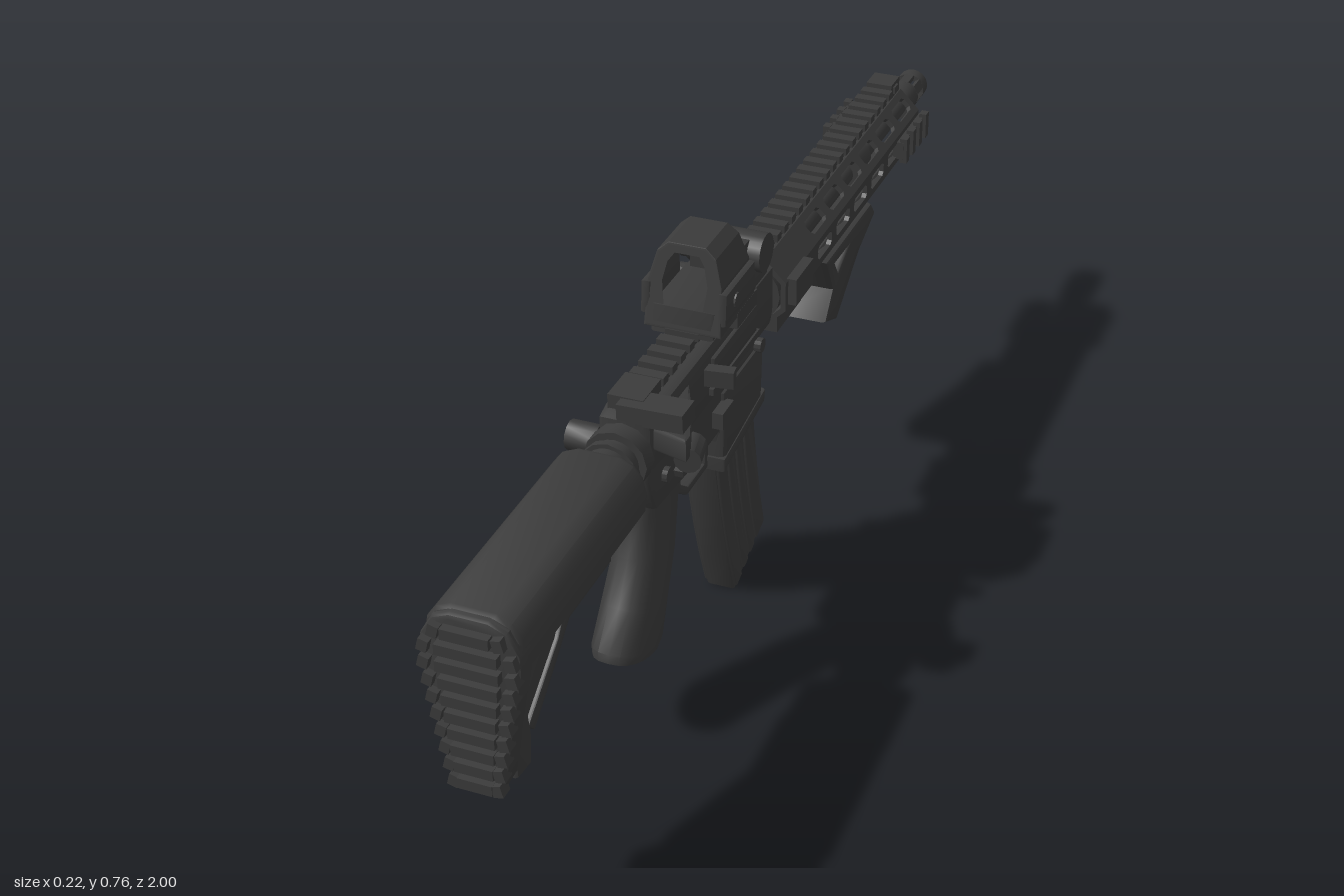
import * as THREE from 'three';
import { toCreasedNormals } from 'three/addons/utils/BufferGeometryUtils.js';

const gunmetal = new THREE.MeshStandardMaterial({ color: 0x3b3b3b });
gunmetal.name = 'gunmetal';

export function createModel() {
  const model = new THREE.Group();
  model.name = 'rifle';
  const body = new THREE.Group();
  body.name = 'rifleBody';
  body.position.x = -0.013;
  model.add(body);

  const add = (name, geo) => {
    const m = new THREE.Mesh(toCreasedNormals(geo, 0.6), gunmetal);
    m.name = name;
    body.add(m);
    return m;
  };
  const box = (name, w, h, d, x, y, z) => {
    const m = add(name, new THREE.BoxGeometry(w, h, d));
    m.position.set(x, y, z);
    return m;
  };
  const cyl = (name, r, len, axis, x, y, z, sides = 20) => {
    const g = new THREE.CylinderGeometry(r, r, len, sides);
    if (axis === 'z') g.rotateX(Math.PI / 2);
    if (axis === 'x') g.rotateZ(-Math.PI / 2);
    const m = add(name, g);
    m.position.set(x, y, z);
    return m;
  };
  const toShape = (pts, holes = []) => {
    const s = new THREE.Shape(pts.map(p => new THREE.Vector2(...p)));
    s.holes = holes.map(h => new THREE.Path(h.map(p => new THREE.Vector2(...p))));
    return s;
  };
  const extrude = (shape, depth, bevel) => new THREE.ExtrudeGeometry(shape, {
    depth: depth - 2 * bevel, bevelEnabled: bevel > 0, bevelSize: bevel, bevelThickness: bevel,
    bevelOffset: -bevel, bevelSegments: 2, curveSegments: 6,
  }).translate(0, 0, bevel);
  // Side profile given as [z, y], extruded across x
  const side = (name, pts, width, x = 0, holes = [], bevel = 0.006) => {
    const flip = a => a.map(([z, y]) => [-z, y]);
    const g = extrude(toShape(flip(pts), holes.map(flip)), width, bevel);
    return add(name, g.rotateY(Math.PI / 2).translate(x - width / 2, 0, 0));
  };
  // Cross-section given as [x, y], extruded from z0 to z1
  const across = (name, pts, z0, z1, holes, bevel) =>
    add(name, extrude(toShape(pts, holes), z1 - z0, bevel).translate(0, 0, z0));
  const mirror = pts => [...pts, ...pts.slice().reverse().map(([x, y]) => [-x, y])];
  // Rounded column through sections [z, y, halfDepth, halfWidth, tilt]
  const column = (name, secs) => {
    const n = secs.length - 1;
    const g = new THREE.CylinderGeometry(1, 1, 1, 20, n);
    const p = g.attributes.position;
    const full = v => Math.sign(v) * Math.abs(v) ** 0.8;
    for (let i = 0; i < p.count; i++) {
      const [z, y, d, w, tilt] = secs[Math.round((0.5 - p.getY(i)) * n)];
      const u = full(p.getX(i)), v = full(p.getZ(i));
      p.setXYZ(i, u * w, y + v * tilt, z + v * d);
    }
    return add(name, g);
  };

  // Stock
  across('stockShell', mirror([[0.035, 0.59], [0.058, 0.58], [0.073, 0.56], [0.079, 0.53], [0.076, 0.505], [0.06, 0.487]]), 0.54, 0.975, [], 0.012);
  const butt = mirror([[0.03, 0.587], [0.058, 0.575], [0.078, 0.54], [0.079, 0.51], [0.06, 0.4], [0.046, 0.31], [0.03, 0.278]]);
  across('stockButt', butt, 0.945, 0.985, [], 0.008);
  side('stockFrame', [[0.98, 0.56], [0.98, 0.285], [0.9, 0.28], [0.885, 0.32], [0.8, 0.395], [0.75, 0.44], [0.6, 0.44], [0.565, 0.47], [0.55, 0.52]], 0.066, 0,
    [[[0.9, 0.465], [0.87, 0.465], [0.87, 0.435], [0.9, 0.435]]]);
  for (const s of [-1, 1]) {
    side('stockStrut', [[0.96, 0.48], [0.95, 0.29], [0.905, 0.285], [0.9, 0.33], [0.915, 0.43], [0.9, 0.48]], 0.02, s * 0.036);
    side('stockRib', [[0.9, 0.345], [0.79, 0.425], [0.77, 0.455], [0.6, 0.455], [0.6, 0.435], [0.75, 0.435], [0.8, 0.39], [0.88, 0.325]], 0.012, s * 0.034, [], 0.003);
    box('stockStep', 0.01, 0.025, 0.12, s * 0.036, 0.475, 0.74);
  }
  side('stockLever', [[0.76, 0.45], [0.745, 0.41], [0.73, 0.425], [0.6, 0.43], [0.6, 0.45]], 0.03);
  // Ribbed butt pad
  for (let i = 0; i < 10; i++) {
    const y = 0.3 + i * 0.029;
    const w = Math.min(0.046 + (y - 0.31) * 0.165, 0.078 - Math.max(0, y - 0.53) * 0.6);
    box('padRib', w * 1.25, 0.018, 0.026, 0, y, 0.986);
    for (const s of [-1, 1]) box('padNub', 0.016, 0.02, 0.022, s * (w - 0.01), y, 0.986).rotation.z = s * 0.25;
  }

  // Stock tube and nut
  cyl('stockTube', 0.04, 0.16, 'z', 0, 0.537, 0.5);
  cyl('castleNut', 0.053, 0.03, 'z', 0, 0.537, 0.475, 12);
  cyl('endPlate', 0.048, 0.012, 'z', 0, 0.537, 0.51, 12);

  // Receiver
  side('upperReceiver', [[0.455, 0.59], [0.455, 0.5], [0.3, 0.485], [-0.07, 0.485], [-0.085, 0.51], [-0.085, 0.595], [0.42, 0.6]], 0.092, 0, [], 0.014);
  side('lowerReceiver', [[0.46, 0.525], [0.46, 0.49], [0.43, 0.42], [0.28, 0.405], [0.165, 0.405], [0.16, 0.345], [-0.01, 0.375], [-0.02, 0.5], [0, 0.525]], 0.086, 0, [], 0.008);
  side('magazineWell', [[0.16, 0.48], [0.165, 0.335], [-0.015, 0.365], [-0.024, 0.48]], 0.1, 0, [], 0.01);
  side('magazineWellLip', [[0.168, 0.355], [0.168, 0.33], [-0.02, 0.362], [-0.024, 0.385]], 0.106, 0, [], 0.005);
  side('ejectionCover', [[0.21, 0.575], [0.21, 0.525], [0.02, 0.525], [0.02, 0.575]], 0.012, 0.047, [], 0.003);
  box('coverHinge', 0.016, 0.012, 0.21, 0.046, 0.517, 0.115);
  box('shellDeflector', 0.07, 0.03, 0.022, 0.058, 0.555, 0.228).rotation.y = 0.15;
  box('boltCatch', 0.04, 0.1, 0.05, -0.06, 0.443, 0.12);
  box('magazineRelease', 0.02, 0.03, 0.05, 0.052, 0.45, 0.175);
  for (const s of [-1, 1]) {
    cyl('receiverPin', 0.013, 0.012, 'x', s * 0.046, 0.47, 0.4, 12);
    cyl('receiverPin', 0.013, 0.012, 'x', s * 0.05, 0.485, 0.0, 12);
    box('selector', 0.02, 0.014, 0.055, s * 0.048, 0.455, 0.335).rotation.x = 0.3;
  }
  cyl('slingSocket', 0.025, 0.05, 'x', -0.073, 0.535, 0.44, 12);
  // Forward assist and charging handle
  const assist = extrude(toShape([[0.03, -0.27], [0.075, -0.36], [0.105, -0.44], [0.105, -0.46], [0.03, -0.44]]), 0.04, 0.005);
  add('forwardAssist', assist.rotateX(-Math.PI / 2).translate(0, 0.54, 0));
  cyl('assistButton', 0.022, 0.05, 'z', 0.096, 0.535, 0.42, 12).rotation.y = 0.2;
  box('chargingHandle', 0.11, 0.032, 0.05, 0.043, 0.603, 0.43).rotation.z = 0.03;
  box('chargingLatch', 0.06, 0.03, 0.07, -0.005, 0.605, 0.4);

  // Top rail
  box('railBase', 0.042, 0.018, 1.2, 0, 0.6, -0.22);
  for (let z = 0.355; z > -0.82; z -= 0.036) box('railTooth', 0.058, 0.014, 0.02, 0, 0.614, z);

  // Pistol grip
  column('pistolGrip', [[0.355, 0.435, 0.07, 0.036, 0], [0.365, 0.385, 0.068, 0.038, 0.01], [0.39, 0.31, 0.064, 0.043, 0.02],
    [0.43, 0.24, 0.066, 0.047, 0.02], [0.465, 0.18, 0.074, 0.049, 0.02], [0.472, 0.165, 0.07, 0.045, 0.02]]);
  // Trigger and guard
  side('triggerGuard', [[0.31, 0.42], [0.295, 0.36], [0.255, 0.332], [0.16, 0.332], [0.16, 0.42]], 0.042, 0,
    [[[0.288, 0.405], [0.28, 0.368], [0.25, 0.346], [0.178, 0.346], [0.17, 0.405]]], 0.003);
  const curve = new THREE.CatmullRomCurve3([[0.235, 0.42], [0.24, 0.39], [0.232, 0.37], [0.215, 0.358]].map(([z, y]) => new THREE.Vector3(0, y, z)));
  add('trigger', new THREE.TubeGeometry(curve, 8, 0.008, 6));

  // Curved magazine: t runs front to back, s runs top to bottom
  const magPoint = (t, s) => {
    const front = [-0.018 - 0.03 * s - 0.035 * s * s, 0.4 - 0.336 * s];
    const back = [0.155 - 0.045 * s - 0.054 * s * s, 0.38 - 0.375 * s];
    return [front[0] + (back[0] - front[0]) * t, front[1] + (back[1] - front[1]) * t];
  };
  const steps = [0, 0.2, 0.4, 0.6, 0.8, 1];
  const strip = (t0, t1, k = 1) => [...steps.map(s => magPoint(t0, s * k)), ...steps.slice().reverse().map(s => magPoint(t1, s * k))];
  side('magazine', strip(0, 1), 0.054, 0, [], 0.005);
  for (const [a, b] of [[0.02, 0.28], [0.36, 0.5], [0.58, 0.72], [0.8, 0.98]]) side('magazineRib', strip(a, b, 0.98), 0.064, 0, [], 0.004);

  // Slotted eight-sided handguard
  const cy = 0.535, apothem = 0.065, half = apothem * Math.tan(Math.PI / 8);
  for (let k = 0; k < 8; k++) {
    const slots = [];
    if (k !== 2) for (let u = 0.25; u < 0.74; u += 0.098)
      slots.push([[u, -0.008], [u + 0.007, -0.014], [u + 0.066, -0.014], [u + 0.073, -0.008], [u + 0.073, 0.008], [u + 0.066, 0.014], [u + 0.007, 0.014], [u, 0.008]]);
    const panel = extrude(toShape([[0.085, -half], [0.83, -half], [0.83, half], [0.085, half]], slots), 0.009, 0);
    panel.rotateY(Math.PI / 2).translate(apothem - 0.009, 0, 0).rotateZ(k * Math.PI / 4).translate(0, cy, 0);
    add('handguardPanel', panel);
  }
  cyl('barrelNut', 0.056, 0.15, 'z', 0, cy, -0.155, 16);
  box('handguardClamp', 0.1, 0.03, 0.12, 0, 0.478, -0.145);
  for (const s of [-1, 1]) {
    box('clampEar', 0.022, 0.05, 0.085, s * 0.069, 0.54, -0.14);
    box('frontSideRail', 0.02, 0.035, 0.14, s * 0.068, cy, -0.765);
    for (let i = 0; i < 4; i++) box('frontRailTooth', 0.014, 0.05, 0.018, s * 0.078, cy, -0.705 - i * 0.04);
  }
  box('slingStud', 0.03, 0.02, 0.016, -0.084, 0.545, -0.165);
  box('lowerRail', 0.04, 0.016, 0.16, 0, 0.47, -0.75);
  for (let i = 0; i < 4; i++) box('lowerRailTooth', 0.054, 0.012, 0.018, 0, 0.464, -0.695 - i * 0.038);
  box('frontSight', 0.05, 0.03, 0.05, 0, 0.613, -0.8);

  // Barrel and slotted muzzle device
  cyl('barrel', 0.022, 0.82, 'z', 0, cy, -0.49, 16);
  cyl('gasBlock', 0.034, 0.07, 'z', 0, cy + 0.008, -0.6, 12);
  const ring = (name, z0, z1) => {
    const pts = [[0.019, z0], [0.03, z0], [0.03, z1], [0.019, z1], [0.019, z0]].map(p => new THREE.Vector2(...p));
    add(name, new THREE.LatheGeometry(pts, 18).rotateX(Math.PI / 2).translate(0, cy, 0));
  };
  ring('muzzleCollar', -0.94, -0.888);
  ring('muzzleTip', -1, -0.975);
  for (let i = 0; i < 6; i++) {
    const a = (i + 0.5) * Math.PI / 3;
    box('muzzleProng', 0.01, 0.018, 0.04, Math.cos(a) * 0.0245, cy + Math.sin(a) * 0.0245, -0.957).rotation.z = a;
  }

  // Angled foregrip
  side('foregripMount', [[-0.34, 0.475], [-0.345, 0.455], [-0.6, 0.437], [-0.635, 0.445], [-0.66, 0.475]], 0.06);
  side('foregrip', [[-0.345, 0.465], [-0.385, 0.39], [-0.345, 0.34], [-0.41, 0.313], [-0.53, 0.395], [-0.625, 0.435], [-0.6, 0.465]], 0.1, 0,
    [[[-0.395, 0.44], [-0.415, 0.412], [-0.465, 0.44]]], 0.008);

  // Holographic sight: hood tapered toward the top
  const hood = across('sightHood', mirror([[0.032, 0.764], [0.05, 0.748], [0.063, 0.7], [0.066, 0.62]]), 0, 1,
    [mirror([[0.024, 0.752], [0.035, 0.735], [0.043, 0.7], [0.036, 0.645]])], 0.004);
  const hp = hood.geometry.attributes.position;
  for (let i = 0; i < hp.count; i++) {
    const t = (hp.getY(i) - 0.62) / 0.145;
    const z0 = 0.065 + 0.035 * t, z1 = 0.22 - 0.027 * t;
    hp.setZ(i, z0 + (z1 - z0) * hp.getZ(i));
  }
  hood.geometry.computeVertexNormals();
  side('sightBase', [[0.215, 0.66], [0.22, 0.612], [-0.025, 0.612], [-0.025, 0.64], [0.07, 0.66]], 0.11);
  box('sightElectronics', 0.085, 0.06, 0.05, 0, 0.67, 0.055);
  cyl('batteryTube', 0.034, 0.13, 'x', 0, 0.67, 0.01);
  cyl('batteryCap', 0.03, 0.022, 'x', -0.07, 0.67, 0.01, 12);
  for (const s of [-1, 1]) {
    side('hoodGuard', [[0.21, 0.695], [0.215, 0.64], [0.08, 0.64], [0.085, 0.695]], 0.016, s * 0.066, [], 0.004);
    cyl('sightScrew', 0.013, 0.014, 'x', s * 0.07, 0.668, 0.17, 10);
    box('mountClamp', 0.02, 0.028, 0.09, s * 0.056, 0.612, 0.1);
  }
  cyl('clampKnob', 0.018, 0.03, 'x', -0.068, 0.615, 0.03, 12);
  return model;
}
